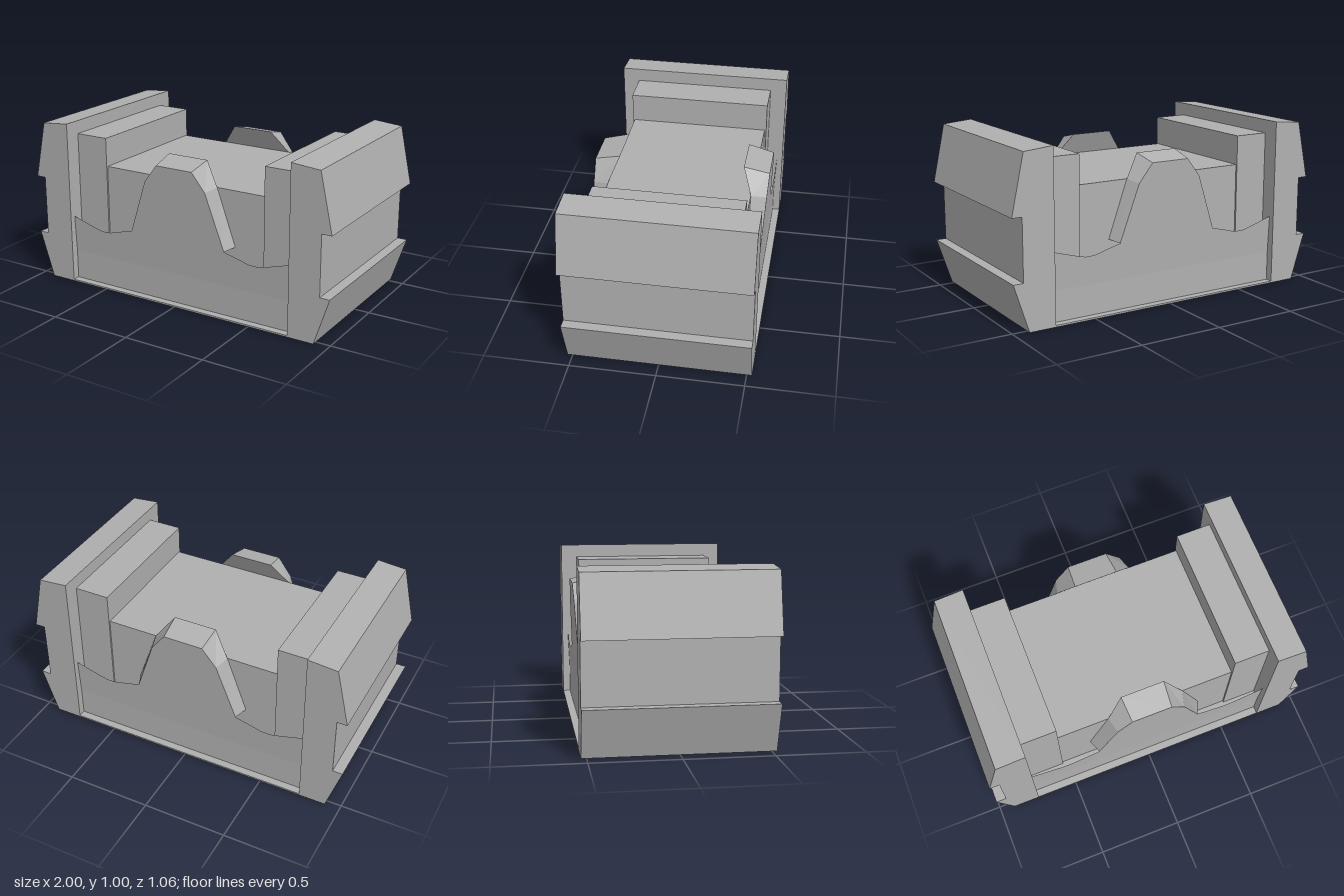
import * as THREE from 'three';

export function createModel() {
  const model = new THREE.Group();
  const grey = new THREE.MeshStandardMaterial({ color: 0xb0b0b0, flatShading: true, side: THREE.DoubleSide });
  grey.name = 'stone grey';

  const add = (name, geometry, parent = model) => {
    const mesh = new THREE.Mesh(geometry, grey);
    mesh.name = name;
    parent.add(mesh);
    return mesh;
  };
  const block = (name, x0, x1, y0, y1, halfDepth) =>
    add(name, new THREE.BoxGeometry(x1 - x0, y1 - y0, halfDepth * 2))
      .position.set((x0 + x1) / 2, (y0 + y1) / 2, 0);
  // Half outline (right side, bottom to top) mirrored into a closed one
  const mirrored = half => [...half, ...half.map(([x, ...r]) => [-x, ...r]).reverse()];
  const toShape = pts => new THREE.Shape(pts.map(([x, y]) => new THREE.Vector2(x, y)));

  // Grooved end walls and the stepped shoulders inside them
  const wall = [[0.75, 0], [0.91, 0], [1, 0.28], [0.94, 0.28], [0.94, 0.64], [1, 0.64], [0.925, 0.985], [0.75, 1]];
  for (const s of [1, -1]) {
    const pts = wall.map(([x, y]) => [s * x, y]);
    const geometry = new THREE.ExtrudeGeometry(toShape(pts), { depth: 1.06, bevelEnabled: false });
    geometry.translate(0, 0, -0.53);
    add(s > 0 ? 'leftEndWall' : 'rightEndWall', geometry);
    block(s > 0 ? 'leftShoulder' : 'rightShoulder', ...(s > 0 ? [0.54, 0.75] : [-0.75, -0.54]), 0.01, 0.92, 0.43);
  }

  // Floor, lower band and central body
  block('floor', -0.75, 0.75, 0, 0.01, 0.53);
  block('lowerBand', -0.75, 0.75, 0.01, 0.19, 0.485);
  block('body', -0.54, 0.54, 0.19, 0.745, 0.42);

  // Leaning panel that rises into a crest
  const lean = y => 0.485 + (y - 0.19) * 0.046;
  const crestFront = [[0.32, 0.4], [0.205, 0.73], [0.12, 0.84]].map(([x, y]) => [x, y, lean(y)]);
  const crestBack = [[0.35, 0.41, 0.42], [0.23, 0.745, 0.42], [0.13, 0.875, 0.365]];
  const panelHalf = [[0.75, 0.19], [0.75, 0.415], [0.6, 0.37], [0.54, 0.355], [0.48, 0.357], [0.4, 0.38], ...crestFront];

  const makeSide = name => {
    const side = new THREE.Group();
    side.name = name;
    const panel = new THREE.ShapeGeometry(toShape(mirrored(panelHalf)));
    const p = panel.attributes.position;
    for (let i = 0; i < p.count; i++) p.setZ(i, lean(p.getY(i)));
    panel.computeVertexNormals();
    add('crestPanel', panel, side);

    // Chamfered rim from the front edge back to the body, plus the rear face
    const f = mirrored(crestFront), b = mirrored(crestBack), v = [];
    const quad = (a, c, d, e) => v.push(...a, ...c, ...d, ...a, ...d, ...e);
    for (let i = 0; i < f.length - 1; i++) quad(f[i], b[i], b[i + 1], f[i + 1]);
    quad(b[1], b[4], b[3], b[2]);
    const rim = new THREE.BufferGeometry();
    rim.setAttribute('position', new THREE.Float32BufferAttribute(v, 3));
    rim.computeVertexNormals();
    add('crestRim', rim, side);
    model.add(side);
    return side;
  };
  makeSide('frontCrest');
  makeSide('backCrest').rotation.y = Math.PI;

  return model;
}
